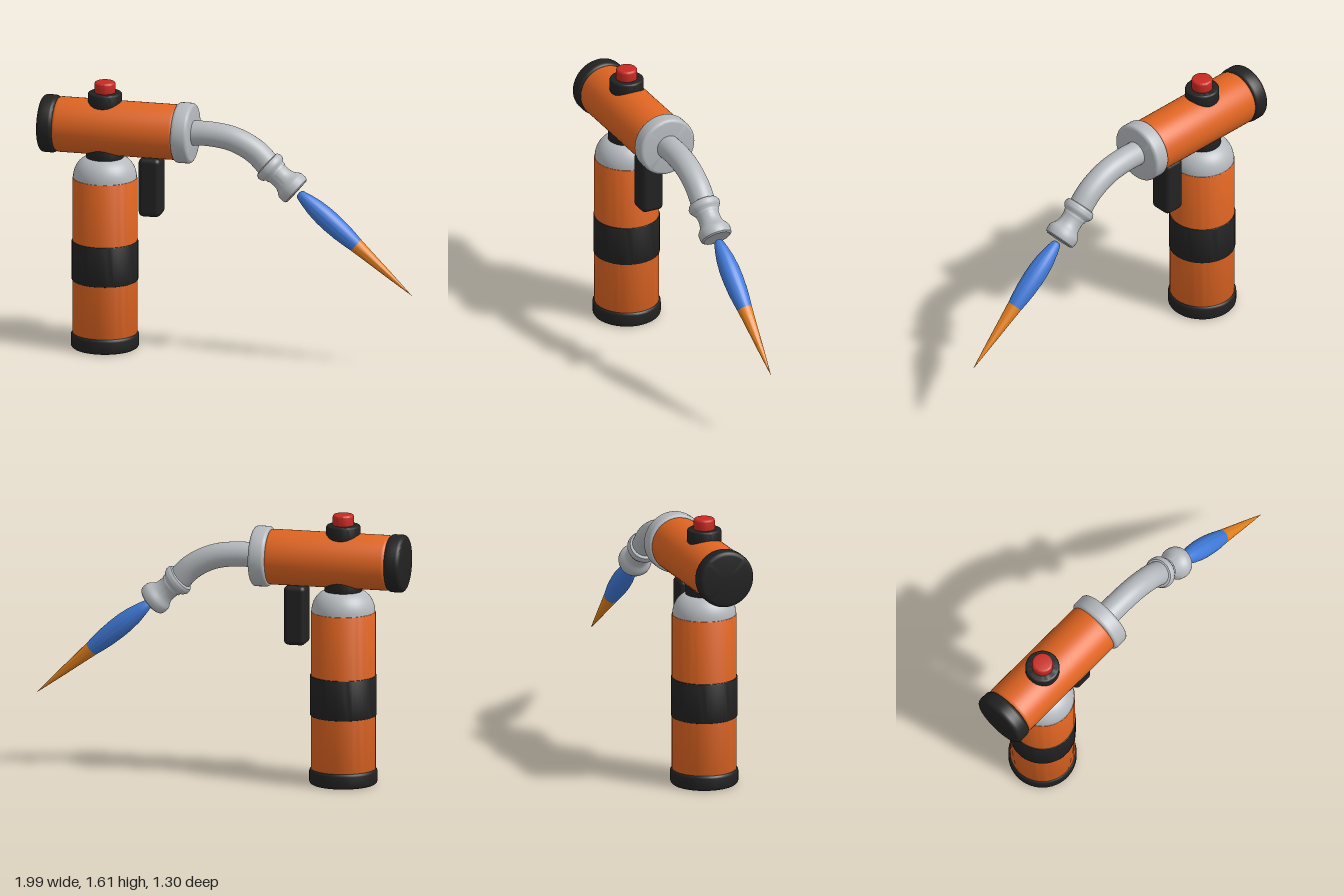
import * as THREE from 'three';
import { toCreasedNormals } from 'three/addons/utils/BufferGeometryUtils.js';
import { RoundedBoxGeometry } from 'three/addons/geometries/RoundedBoxGeometry.js';

const mat = (name, color) => {
  const m = new THREE.MeshStandardMaterial({ color });
  m.name = name;
  return m;
};

export function createModel() {
  const orange = mat('orange paint', 0xe06522);
  const black = mat('black rubber', 0x222222);
  const grey = mat('light metal', 0xb6babe);
  const red = mat('red button', 0xc82a22);
  const blue = mat('blue flame', 0x407ad8);
  const amber = mat('amber flame', 0xe6821e);

  const model = new THREE.Group();
  // the torch is built along +x around the canister axis, then turned
  const torch = new THREE.Group();
  torch.name = 'torch';
  torch.position.set(-0.595, 0, 0.315);
  torch.rotation.y = 0.55;
  model.add(torch);

  const add = (name, geometry, material, parent = torch) => {
    const mesh = new THREE.Mesh(geometry, material);
    mesh.name = name;
    parent.add(mesh);
    return mesh;
  };
  const lathe = (points) => toCreasedNormals(
    new THREE.LatheGeometry(points.map(([r, y]) => new THREE.Vector2(r, y)), 48), 0.6);

  // closed cylinder from y0 to y1 with rounded rims
  const roundCyl = (radius, y0, y1, bevel) => {
    const pts = [[0, y0]];
    for (let i = 0; i <= 4; i++) {
      const a = (i / 4) * Math.PI / 2;
      pts.push([radius - bevel + bevel * Math.sin(a), y0 + bevel - bevel * Math.cos(a)]);
    }
    for (let i = 0; i <= 4; i++) {
      const a = (i / 4) * Math.PI / 2;
      pts.push([radius - bevel + bevel * Math.cos(a), y1 - bevel + bevel * Math.sin(a)]);
    }
    pts.push([0, y1]);
    return lathe(pts);
  };

  // canister
  add('canisterBase', roundCyl(0.2, 0, 0.095, 0.02), black);
  add('canisterBody', roundCyl(0.19, 0.05, 1.03, 0.004), orange);
  add('canisterBand', roundCyl(0.195, 0.41, 0.65, 0.004), black);
  const dome = [];
  for (let i = 0; i <= 10; i++) {
    const a = (i / 10) * Math.PI / 2;
    dome.push([0.075 + 0.112 * Math.cos(a), 1.03 + 0.13 * Math.sin(a)]);
  }
  add('canisterShoulder', lathe([[0, 1.02], [0.187, 1.02], ...dome, [0, 1.16]]), grey);
  add('canisterNeck', roundCyl(0.11, 1.14, 1.25, 0.01), black);

  // horizontal burner head
  const head = new THREE.Group();
  head.name = 'burnerHead';
  head.position.y = 1.333;
  head.rotation.z = -Math.PI / 2;
  torch.add(head);
  add('rearCap', roundCyl(0.17, -0.378, -0.28, 0.025), black, head);
  add('barrel', roundCyl(0.163, -0.29, 0.45, 0.025), orange, head);
  add('frontCollar', roundCyl(0.178, 0.437, 0.537, 0.02), grey, head);

  // push button and trigger
  add('buttonBase', roundCyl(0.1, 1.46, 1.546, 0.012), black);
  add('button', roundCyl(0.062, 1.53, 1.61, 0.014), red);
  const trigger = add('trigger', new RoundedBoxGeometry(0.132, 0.355, 0.14, 4, 0.03), black);
  trigger.position.set(0.282, 0.9975, 0);

  // bent tube
  const path = new THREE.CatmullRomCurve3([
    [0.5, 1.335], [0.64, 1.337], [0.78, 1.315], [0.91, 1.25], [1.0, 1.162], [1.04, 1.128],
  ].map(([x, y]) => new THREE.Vector3(x, y, 0)));
  add('bentTube', new THREE.TubeGeometry(path, 40, 0.073, 32), grey);

  // nozzle and flame share one axis, sloping 40 degrees down
  const tip = new THREE.Group();
  tip.name = 'nozzleAndFlame';
  tip.position.set(1.0, 1.161, 0);
  tip.rotation.z = -Math.PI * 130 / 180;
  torch.add(tip);
  add('nozzle', lathe([
    [0, -0.03], [0.072, -0.03], [0.086, -0.024], [0.095, -0.008], [0.095, 0.008],
    [0.086, 0.024], [0.074, 0.036], [0.067, 0.06], [0.066, 0.09], [0.07, 0.115],
    [0.08, 0.135], [0.092, 0.15], [0.097, 0.165], [0.097, 0.19], [0.092, 0.205],
    [0.082, 0.212], [0, 0.212],
  ]), grey, tip);
  add('innerFlame', lathe([
    [0, 0.226], [0.018, 0.228], [0.028, 0.24], [0.041, 0.29], [0.053, 0.35], [0.06, 0.42],
    [0.061, 0.48], [0.058, 0.56], [0.052, 0.62], [0.044, 0.68], [0, 0.68],
  ]), blue, tip);
  add('outerFlame', lathe([
    [0, 0.68], [0.044, 0.68], [0.034, 0.78], [0.022, 0.91], [0.01, 1.03], [0, 1.121],
  ]), amber, tip);

  return model;
}
